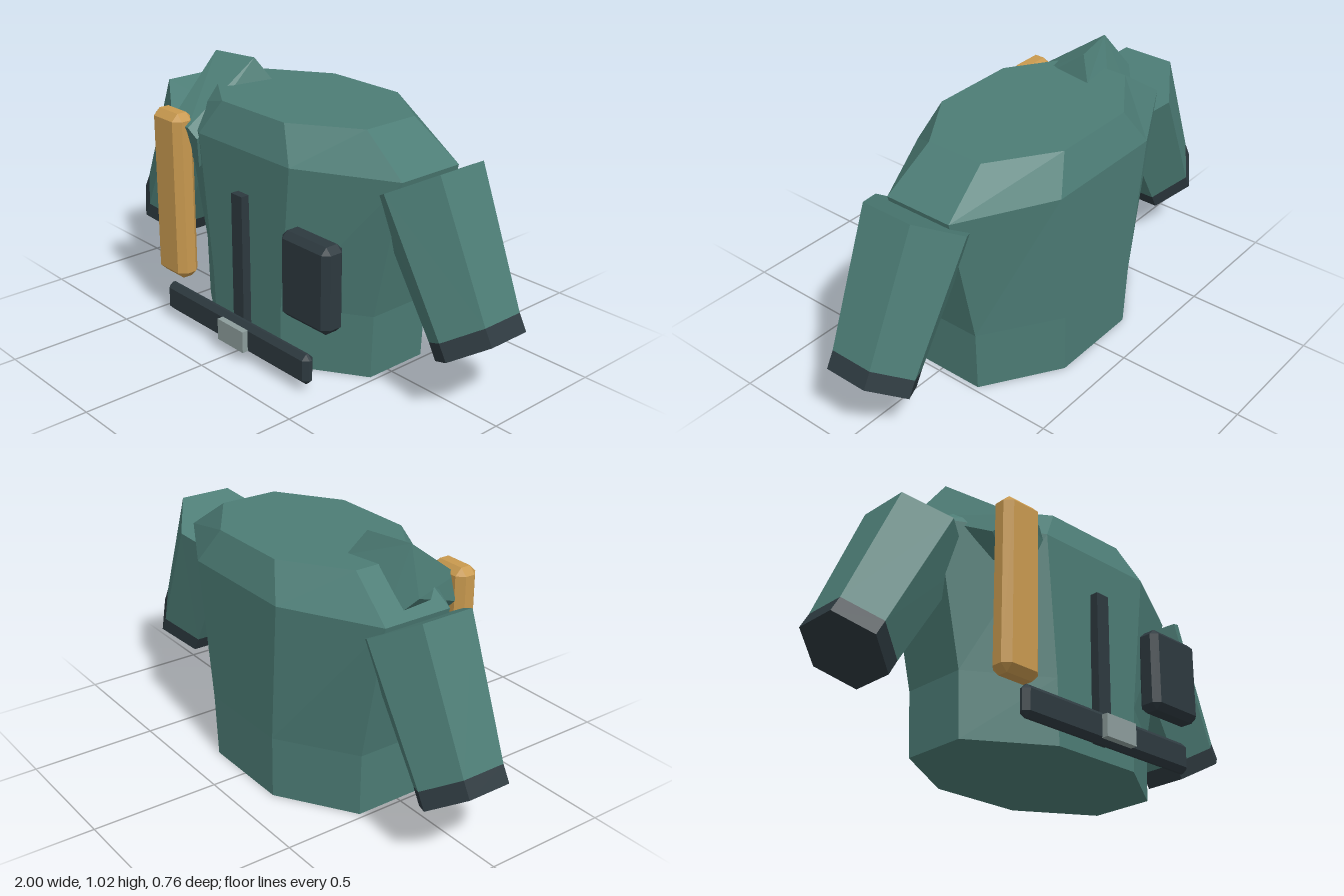
import * as THREE from 'three';
import { ConvexGeometry } from 'three/addons/geometries/ConvexGeometry.js';

const material = (name, color) => {
  const m = new THREE.MeshStandardMaterial({ color, flatShading: true });
  m.name = name;
  return m;
};

// Closed solid through a list of rings, each a loop of [x, y, z] points.
function loft(rings) {
  const tris = [];
  const n = rings[0].length;
  for (let r = 0; r < rings.length - 1; r++) {
    const a = rings[r], b = rings[r + 1];
    for (let i = 0; i < n; i++) {
      const j = (i + 1) % n;
      tris.push([a[i], a[j], b[j]], [a[i], b[j], b[i]]);
    }
  }
  const last = rings[rings.length - 1];
  for (let i = 1; i < n - 1; i++) {
    tris.push([rings[0][0], rings[0][i + 1], rings[0][i]], [last[0], last[i], last[i + 1]]);
  }
  // Turn all faces outward, whichever way the rings run
  const o = new THREE.Vector3(...rings[0][0]);
  let volume = 0;
  for (const t of tris) {
    const [p, q, s] = t.map((v) => new THREE.Vector3(...v).sub(o));
    volume += p.dot(q.cross(s));
  }
  if (volume < 0) tris.forEach((t) => t.reverse());
  const g = new THREE.BufferGeometry();
  g.setAttribute('position', new THREE.Float32BufferAttribute(tris.flat(2), 3));
  g.computeVertexNormals();
  return g;
}

// Box with every edge cut at 45 degrees
function chamferBox(w, h, d, c) {
  const x = w / 2, y = h / 2, z = d / 2, pts = [];
  for (const i of [-1, 1]) for (const j of [-1, 1]) for (const k of [-1, 1]) {
    pts.push(
      new THREE.Vector3(i * x, j * (y - c), k * (z - c)),
      new THREE.Vector3(i * (x - c), j * y, k * (z - c)),
      new THREE.Vector3(i * (x - c), j * (y - c), k * z));
  }
  return new ConvexGeometry(pts);
}

// Eight-sided torso section: outer half width, front/back half width, four depths
const torsoRing = (y, wide, narrow, back, sideBack, sideFront, front) => [
  [narrow, y, front], [wide, y, sideFront], [wide, y, sideBack], [narrow, y, back],
  [-narrow, y, back], [-wide, y, sideBack], [-wide, y, sideFront], [-narrow, y, front],
];

// Six-sided sleeve section; (dx, dy) reaches from the centre to the outer edge
const sleeveRing = (s, cx, cy, dx, dy, flat, half) => [
  [s * (cx + dx), cy + dy, -0.042 + flat], [s * (cx + dx), cy + dy, -0.042 - flat],
  [s * cx, cy, -0.042 - half],
  [s * (cx - dx), cy - dy, -0.042 - flat], [s * (cx - dx), cy - dy, -0.042 + flat],
  [s * cx, cy, -0.042 + half],
];

export function createModel() {
  const green = material('green cloth', 0x4c7c75);
  const dark = material('dark trim', 0x2d393f);
  const tan = material('tan roll', 0xc8994f);
  const grey = material('grey metal', 0x8c9c9b);

  const model = new THREE.Group();
  model.name = 'jacket';
  const add = (name, geometry, mat, x = 0, y = 0, z = 0) => {
    const mesh = new THREE.Mesh(geometry, mat);
    mesh.name = name;
    mesh.position.set(x, y, z);
    model.add(mesh);
  };

  // Torso with sloping shoulders
  add('torso', loft([
    torsoRing(0, 0.48, 0.19, -0.36, -0.175, 0.09, 0.278),
    torsoRing(0.25, 0.49, 0.2, -0.365, -0.178, 0.09, 0.28),
    torsoRing(0.8, 0.615, 0.257, -0.378, -0.185, 0.095, 0.288),
    torsoRing(0.935, 0.42, 0.175, -0.325, -0.16, 0.075, 0.238),
  ]), green);

  // Sleeves and cuffs
  for (const [s, side] of [[1, 'left'], [-1, 'right']]) {
    const shoulder = sleeveRing(s, 0.6, 0.775, 0.155, 0.085, 0.107, 0.21);
    const wrist = sleeveRing(s, 0.842, 0.3, 0.123, 0.075, 0.088, 0.174);
    const end = sleeveRing(s, 0.875, 0.24, 0.123, 0.075, 0.088, 0.174);
    add(side + 'Sleeve', loft([shoulder, wrist]), green);
    add(side + 'Cuff', loft([wrist, end]), dark);
  }

  // Folded cloth slung over the right shoulder
  add('shoulderFold', loft([
    [[-0.51, 1.022, 0.005], [-0.32, 1.022, -0.035], [-0.275, 0.93, -0.09],
      [-0.33, 0.8, -0.16], [-0.53, 0.76, -0.13], [-0.615, 0.87, -0.045]],
    [[-0.42, 0.81, 0.3], [-0.31, 0.81, 0.3], [-0.275, 0.77, 0.285],
      [-0.315, 0.64, 0.25], [-0.41, 0.66, 0.22], [-0.48, 0.74, 0.24]],
  ]), green);

  // Front fittings
  add('frontRoll', chamferBox(0.17, 0.68, 0.095, 0.027), tan, -0.413, 0.517, 0.293);
  add('pouch', chamferBox(0.25, 0.33, 0.097, 0.024), dark, 0.385, 0.422, 0.295);
  add('zip', new THREE.BoxGeometry(0.06, 0.585, 0.036), dark, 0, 0.342, 0.301);
  add('belt', chamferBox(0.84, 0.12, 0.05, 0.02), dark, 0, 0.09, 0.329);
  add('buckle', new THREE.BoxGeometry(0.15, 0.086, 0.04), grey, 0.02, 0.089, 0.358);

  return model;
}
